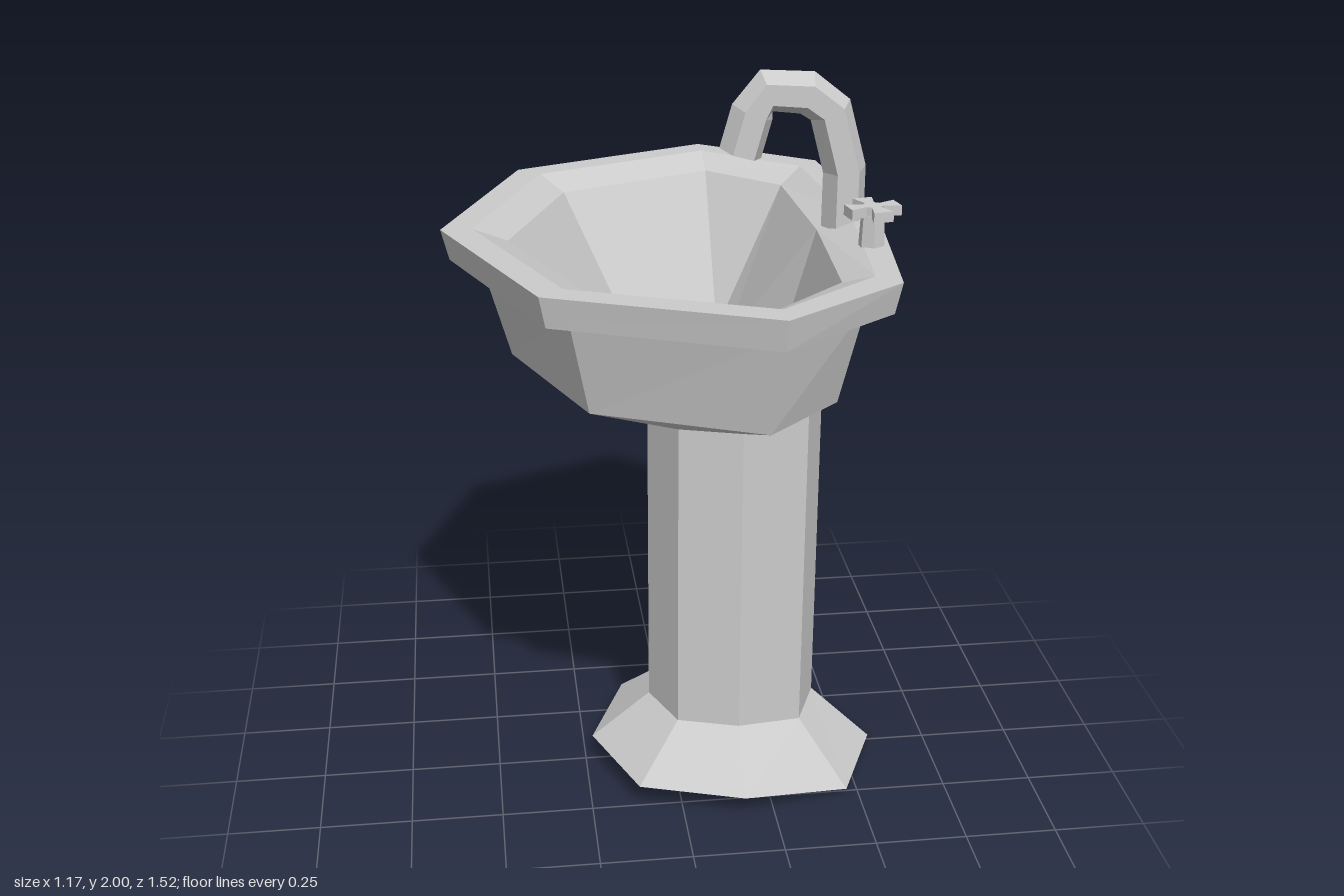
import * as THREE from 'three';

const material = new THREE.MeshStandardMaterial({ color: 0xcccccc, flatShading: true, side: THREE.DoubleSide });

// Joins successive rings of points into one faceted skin
function loft(name, rings) {
  const pos = [];
  for (let k = 0; k + 1 < rings.length; k++) {
    const a = rings[k], b = rings[k + 1], n = a.length;
    for (let i = 0; i < n; i++) {
      const j = (i + 1) % n;
      if (!a[i].equals(a[j])) pos.push(...a[i], ...a[j], ...b[j]);
      if (!b[i].equals(b[j])) pos.push(...a[i], ...b[j], ...b[i]);
    }
  }
  const geometry = new THREE.BufferGeometry();
  geometry.setAttribute('position', new THREE.Float32BufferAttribute(pos, 3));
  geometry.computeVertexNormals();
  const mesh = new THREE.Mesh(geometry, material);
  mesh.name = name;
  return mesh;
}

// Eight-sided ring from five [x, z] points, mirrored in z; y is one height or one per point
function ring(y, half) {
  const pts = half.map(([x, z], i) => new THREE.Vector3(x, Array.isArray(y) ? y[i] : y, z));
  const mirrored = pts.slice(1, 4).reverse().map((p) => new THREE.Vector3(p.x, p.y, -p.z));
  return [...pts, ...mirrored];
}

const centre = (x, y) => Array.from({ length: 8 }, () => new THREE.Vector3(x, y, 0));

// Bent six-sided tube lying in the xy plane, closed at both ends
function bentTube(name, path, rPlane, rSide) {
  const pts = path.map(([x, y]) => new THREE.Vector3(x, y, 0));
  const rings = pts.map((p, i) => {
    const t = pts[Math.min(i + 1, pts.length - 1)].clone().sub(pts[Math.max(i - 1, 0)]).normalize();
    return Array.from({ length: 6 }, (_, k) => {
      const a = (k / 6) * Math.PI * 2;
      const u = Math.cos(a) * rPlane;
      return new THREE.Vector3(p.x - t.y * u, p.y + t.x * u, Math.sin(a) * rSide);
    });
  });
  const cap = (p) => Array.from({ length: 6 }, () => p.clone());
  return loft(name, [cap(pts[0]), ...rings, cap(pts[pts.length - 1])]);
}

export function createModel() {
  const model = new THREE.Group();
  model.name = 'pedestalSink';

  const columnPlan = [[-0.065, 0], [0, 0.155], [0.165, 0.205], [0.345, 0.155], [0.41, 0]];
  const columnTop = ring([1.1, 1.1, 1.1, 1.13, 1.13], columnPlan);

  // Flared foot and column
  model.add(loft('pedestal', [
    centre(0.2, 0),
    ring([0.075, 0.075, 0.068, 0.02, 0.015], [[-0.23, 0], [-0.12, 0.27], [0.165, 0.35], [0.465, 0.27], [0.585, 0]]),
    ring([0.21, 0.21, 0.21, 0.19, 0.19], columnPlan),
    columnTop,
  ]));

  // Bowl: underside, overhanging rim, then the hollow inside
  model.add(loft('basin', [
    columnTop,
    ring(1.27, [[-0.42, 0], [-0.25, 0.42], [0.165, 0.6], [0.36, 0.42], [0.42, 0]]),
    ring(1.535, [[-0.495, 0], [-0.3, 0.47], [0.17, 0.665], [0.41, 0.47], [0.45, 0]]),
    ring(1.535, [[-0.57, 0], [-0.355, 0.53], [0.17, 0.745], [0.465, 0.53], [0.52, 0]]),
    ring(1.615, [[-0.59, 0], [-0.37, 0.54], [0.17, 0.76], [0.48, 0.54], [0.54, 0]]),
    ring(1.615, [[-0.51, 0], [-0.31, 0.49], [0.17, 0.685], [0.425, 0.485], [0.47, 0]]),
    ring(1.58, [[-0.42, 0], [-0.25, 0.42], [0.17, 0.595], [0.36, 0.42], [0.38, 0]]),
    ring(1.19, [[-0.17, 0], [-0.07, 0.24], [0.17, 0.34], [0.18, 0.24], [0.27, 0]]),
    centre(0.1, 1.17),
  ]));

  // Curved spout
  model.add(bentTube('spout', [
    [0.447, 1.59], [0.447, 1.74], [0.405, 1.895], [0.345, 1.94], [0.24, 1.948], [0.205, 1.895], [0.176, 1.79],
  ], 0.056, 0.062));

  // Tap: stem with a four-armed handle
  const tap = new THREE.Group();
  tap.name = 'tap';
  tap.position.set(0.468, 1.6, 0.247);
  const stem = new THREE.Mesh(new THREE.CylinderGeometry(0.03, 0.034, 0.095, 6), material);
  stem.name = 'tapStem';
  stem.position.y = 0.047;
  const outline = [];
  for (let k = 0; k < 4; k++) {
    const turn = (k * Math.PI) / 2 + 0.2;
    for (const [r, s] of [[0.022, -0.012], [0.066, -0.026], [0.066, 0.026], [0.022, 0.012]]) {
      outline.push(new THREE.Vector2(r, s).rotateAround(new THREE.Vector2(), turn));
    }
  }
  const handle = new THREE.Mesh(
    new THREE.ExtrudeGeometry(new THREE.Shape(outline), { depth: 0.026, bevelEnabled: false }), material);
  handle.name = 'tapHandle';
  handle.rotation.x = -Math.PI / 2;
  handle.position.y = 0.09;
  tap.add(stem, handle);
  model.add(tap);

  return model;
}
